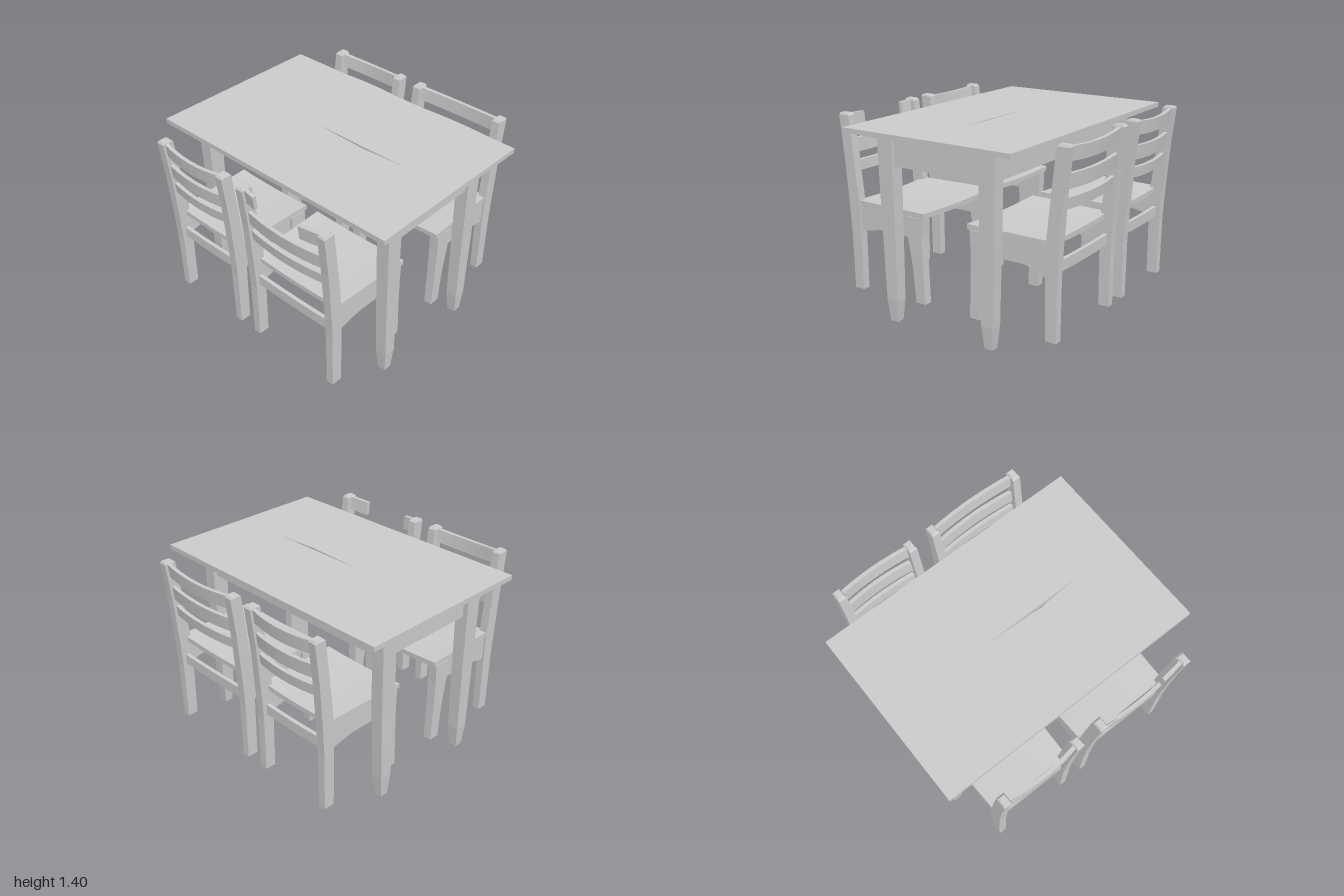
import * as THREE from 'three';

const mat = new THREE.MeshStandardMaterial({ color: 0xcccccc, flatShading: true });

function add(parent, name, geometry) {
  const mesh = new THREE.Mesh(geometry, mat);
  mesh.name = name;
  parent.add(mesh);
  return mesh;
}

// Block between two corners
function block(x0, x1, y0, y1, z0, z1) {
  return new THREE.BoxGeometry(x1 - x0, y1 - y0, z1 - z0)
    .translate((x0 + x1) / 2, (y0 + y1) / 2, (z0 + z1) / 2);
}

// Upright bar through rectangular sections [y, centre x, centre z, width, depth], bottom to top
function bar(sections) {
  const pos = [], idx = [];
  for (const [y, x, z, w, d] of sections) {
    for (const [sx, sz] of [[-1, 1], [1, 1], [1, -1], [-1, -1]]) {
      pos.push(x + sx * w / 2, y, z + sz * d / 2);
    }
  }
  const last = (sections.length - 1) * 4;
  for (let r = 0; r < last; r += 4) {
    for (let i = 0; i < 4; i++) {
      const j = (i + 1) % 4;
      idx.push(r + i, r + j, r + 4 + j, r + i, r + 4 + j, r + 4 + i);
    }
  }
  idx.push(0, 2, 1, 0, 3, 2, last, last + 1, last + 2, last, last + 2, last + 3);
  const g = new THREE.BufferGeometry();
  g.setAttribute('position', new THREE.Float32BufferAttribute(pos, 3));
  g.setIndex(idx);
  const flat = g.toNonIndexed();
  flat.computeVertexNormals();
  return flat;
}

// Depth of the back posts: upright to the seat, then leaning outwards
const postZ = (y) => 0.81 + 0.1 * Math.max(0, y - 0.75);

// Bowed slat from x0 to x1; half is the half width of the chair back
function slat(x0, x1, y0, y1, half, bow, sag) {
  const g = block(x0, x1, y0, y1, -0.014, 0.014);
  const s = new THREE.BoxGeometry(x1 - x0, y1 - y0, 0.028, 8, 1, 1)
    .translate((x0 + x1) / 2, (y0 + y1) / 2, 0);
  g.dispose();
  const p = s.attributes.position;
  for (let i = 0; i < p.count; i++) {
    const k = 1 - (p.getX(i) / half) ** 2;
    p.setZ(i, p.getZ(i) + postZ(p.getY(i)) + bow * k);
    p.setY(i, p.getY(i) - sag * k);
  }
  s.computeVertexNormals();
  return s;
}

function makeChair(name, width, broken) {
  const chair = new THREE.Group();
  chair.name = name;
  const half = width / 2, inner = half - 0.03;

  for (const s of [-1, 1]) {
    const x = s * (half - 0.032);
    add(chair, 'backPost', bar([
      [0.12, x, 0.81, 0.055, 0.08], [0.55, x, 0.81, 0.06, 0.085], [0.75, x, 0.815, 0.062, 0.095],
      [1.1, x, postZ(1.1), 0.062, 0.085], [1.39, x, 0.877, 0.06, 0.085], [1.405, x, 0.88, 0.045, 0.06],
    ]));
    const fx = s * (half - 0.025);
    add(chair, 'frontLeg', bar([
      [0.14, fx, 0.23, 0.06, 0.08], [0.4, fx, 0.245, 0.065, 0.09],
      [0.62, fx, 0.265, 0.07, 0.12], [0.76, fx, 0.265, 0.07, 0.13],
    ]));

    // Side rail, deeper towards the back
    const rail = new THREE.Shape([[0.22, 0.76], [0.8, 0.76], [0.8, 0.56], [0.6, 0.6], [0.22, 0.6]]
      .map(([z, y]) => new THREE.Vector2(-z, y)));
    add(chair, 'sideRail', new THREE.ExtrudeGeometry(rail, { depth: 0.03, bevelEnabled: false })
      .rotateY(Math.PI / 2).translate(s * (half - 0.03) - 0.015, 0, 0));
  }

  // Seat board, wider at the front and slightly dished
  const seat = new THREE.BoxGeometry(width, 0.035, 0.62, 8, 1, 4).translate(0, 0.772, 0.49);
  const p = seat.attributes.position;
  for (let i = 0; i < p.count; i++) {
    const t = (0.8 - p.getZ(i)) / 0.62, k = 1 - (p.getX(i) / half) ** 2;
    p.setX(i, p.getX(i) * (0.97 + 0.06 * t));
    p.setY(i, p.getY(i) - 0.012 * k + 0.008 * t);
  }
  seat.computeVertexNormals();
  add(chair, 'seat', seat);

  // Back slats; a broken chair keeps only the ends of its top slat
  if (broken) {
    add(chair, 'brokenTopSlatEnd', slat(-inner, -half + 0.15, 1.3, 1.4, half, 0.035, 0.02));
    add(chair, 'brokenTopSlatEnd', slat(half - 0.22, inner, 1.3, 1.4, half, 0.035, 0.02));
  } else {
    add(chair, 'topSlat', slat(-inner, inner, 1.3, 1.395, half, 0.035, 0.02));
  }
  add(chair, 'middleSlat', slat(-inner, inner, 1.12, 1.22, half, 0.035, 0.012));
  add(chair, 'lowerSlat', slat(-inner, inner, 0.99, 1.065, half, 0.03, 0.015));
  add(chair, 'backRail', slat(-inner, inner, 0.575, 0.65, half, 0, 0.01));
  return chair;
}

function makeTable() {
  const table = new THREE.Group();
  table.name = 'table';

  // Two-leaf top with a narrow split along the centre seam
  const leaf = (points) => new THREE.ExtrudeGeometry(
    new THREE.Shape(points.map(([x, z]) => new THREE.Vector2(x, -z))),
    { depth: 0.035, bevelEnabled: false }).rotateX(-Math.PI / 2).translate(0, 1.335, 0);
  add(table, 'backLeaf', leaf([[-1, -0.67], [1, -0.67], [1, 0], [-1, 0]]));
  add(table, 'frontLeaf', leaf([[-1, 0], [-0.2, 0], [0.08, 0.012], [0.26, 0.02], [0.42, 0.008],
    [0.6, 0], [1, 0], [1, 0.665], [-1, 0.665]]));

  // Legs with tapered feet
  for (const sx of [-1, 1]) {
    for (const sz of [-1, 1]) {
      const x = sx < 0 ? -0.845 : 0.83, foot = sx < 0 ? 0.04 : 0;
      add(table, sz > 0 ? 'frontTableLeg' : 'backTableLeg', bar([
        [foot, x, sz * 0.4, 0.06, 0.06], [foot + 0.16, x, sz * 0.4, 0.085, 0.09],
        [0.7, x, sz * 0.405, 0.09, 0.11], [1.335, x, sz * 0.41, 0.1, 0.125],
      ]));
    }
  }

  // Apron frame
  for (const s of [-1, 1]) {
    add(table, 'longApron', block(-0.83, 0.83, 1.12, 1.335, s * 0.42 - 0.018, s * 0.42 + 0.018));
    add(table, 'shortApron', block(s * 0.84 - 0.018, s * 0.84 + 0.018, 1.12, 1.335, -0.4, 0.4));
  }
  return table;
}

export function createModel() {
  const model = new THREE.Group();
  model.name = 'diningSet';
  model.add(makeTable());

  // Chairs tucked in on both long sides: a narrow and a wide one each
  for (const [x, width, label] of [[-0.45, 0.645, 'narrow'], [0.383, 0.765, 'wide']]) {
    const front = makeChair(label + 'FrontChair', width, label === 'wide');
    front.position.x = x;
    const back = makeChair(label + 'BackChair', width, false);
    back.position.x = x;
    back.rotation.y = Math.PI;
    model.add(front, back);
  }
  return model;
}
